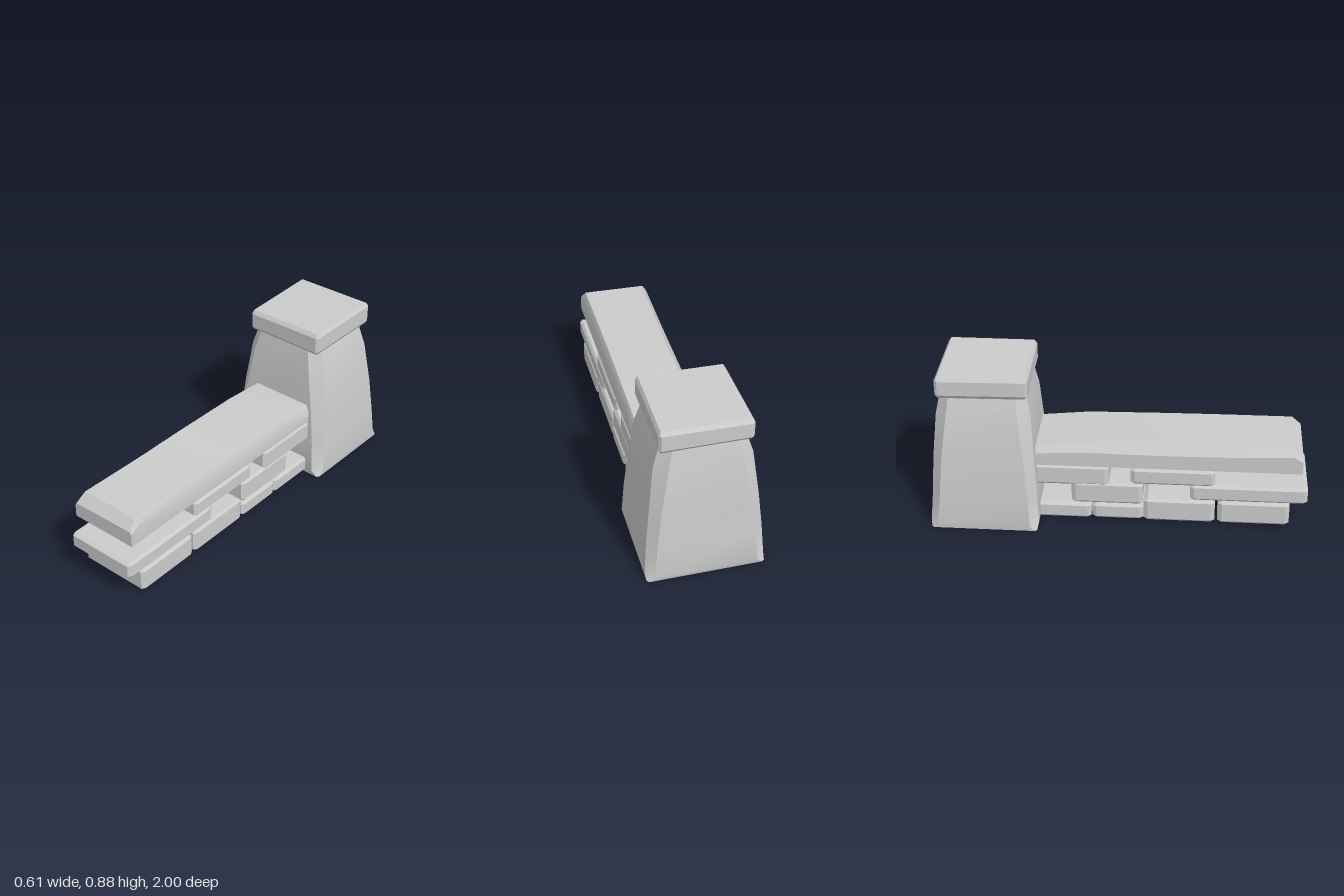
import * as THREE from 'three';
import { toCreasedNormals } from 'three/addons/utils/BufferGeometryUtils.js';
import { ConvexGeometry } from 'three/addons/geometries/ConvexGeometry.js';

const stone = new THREE.MeshStandardMaterial({ color: 0xcccccc });
const shell = new THREE.MeshStandardMaterial({ color: 0xcccccc, side: THREE.DoubleSide });

// Skin a list of equal-length rings of [x, y, z] points
function loft(rings, capped) {
  const n = rings[0].length;
  const index = [];
  for (let r = 0; r < rings.length - 1; r++) {
    for (let i = 0; i < n; i++) {
      const a = r * n + i, b = r * n + (i + 1) % n;
      index.push(a, b, b + n, a, b + n, a + n);
    }
  }
  if (capped) {
    const last = (rings.length - 1) * n;
    for (let i = 1; i < n - 1; i++) {
      index.push(0, i + 1, i, last, last + i, last + i + 1);
    }
  }
  const geo = new THREE.BufferGeometry();
  geo.setAttribute('position', new THREE.Float32BufferAttribute(rings.flat(2), 3));
  geo.setIndex(index);
  return toCreasedNormals(geo, 0.55);
}

// Box between two corners with every edge chamfered by [cx, cy, cz]
function chamferedBox([x0, y0, z0], [x1, y1, z1], [cx, cy, cz], warp = (p) => p) {
  const center = new THREE.Vector3((x0 + x1) / 2, (y0 + y1) / 2, (z0 + z1) / 2);
  const hx = (x1 - x0) / 2, hy = (y1 - y0) / 2, hz = (z1 - z0) / 2;
  const pts = [];
  for (const sx of [-1, 1]) for (const sy of [-1, 1]) for (const sz of [-1, 1]) {
    for (const [a, b, c] of [[hx, hy - cy, hz - cz], [hx - cx, hy, hz - cz], [hx - cx, hy - cy, hz]]) {
      pts.push(warp(new THREE.Vector3(sx * a, sy * b, sz * c).add(center)));
    }
  }
  return new ConvexGeometry(pts);
}

export function createModel() {
  const model = new THREE.Group();
  const add = (name, geo, mat = stone) => {
    const mesh = new THREE.Mesh(geo, mat);
    mesh.name = name;
    model.add(mesh);
  };

  // Hollow tapering pillar: y, half width, front z, back z, corner chamfer
  const levels = [
    [0, 0.302, -0.425, -0.99, 0.012],
    [0.03, 0.305, -0.418, -0.997, 0.045],
    [0.2, 0.294, -0.425, -0.98, 0.045],
    [0.4, 0.275, -0.436, -0.968, 0.05],
    [0.64, 0.247, -0.452, -0.945, 0.06],
    [0.77, 0.207, -0.476, -0.917, 0.05],
  ];
  add('pillar', loft(levels.map(([y, h, f, b, c]) => [
    [-h + c, y, f], [h - c, y, f], [h, y, f - c], [h, y, b + c],
    [h - c, y, b], [-h + c, y, b], [-h, y, b + c], [-h, y, f - c],
  ]), false), shell);

  // Capstone, its top tilted slightly and its back left edge bulging
  add('capstone', chamferedBox([-0.225, 0.75, -0.935], [0.23, 0.872, -0.46], [0.012, 0.02, 0.015], (p) => {
    if (p.y > 0.8) p.y += p.x * 0.018;
    if (p.x < -0.2 && p.z < -0.8) p.x -= 0.012;
    return p;
  }));

  // Loose courses of wall stones: z start, z end, y bottom, y top
  const courses = {
    lowerStone: [[0.53, 0.91, 0.015, 0.148], [0.135, 0.515, 0.012, 0.145],
      [-0.14, 0.135, 0.018, 0.108], [-0.44, -0.145, 0.012, 0.102]],
    middleStone: [[0.38, 1, 0.152, 0.245], [-0.25, 0.13, 0.11, 0.237]],
    upperStone: [[0.065, 0.51, 0.24, 0.335], [-0.45, -0.05, 0.22, 0.338]],
  };
  for (const [name, stones] of Object.entries(courses)) {
    stones.forEach(([z0, z1, y0, y1], i) => {
      const shift = (i % 2) * 0.004;
      add(name + (i + 1), chamferedBox([-0.182 + shift, y0, z0], [0.218 - shift, y1, z1], [0.013, 0.014, 0.022]));
    });
  }

  // Long coping slab: z, left top y, right top y, left chamfer, right chamfer
  const stations = [
    [-0.45, 0.435, 0.435, 0.02, 0.02],
    [-0.18, 0.465, 0.463, 0.03, 0.02],
    [0.25, 0.485, 0.472, 0.045, 0.022],
    [0.55, 0.474, 0.475, 0.035, 0.022],
    [0.915, 0.468, 0.475, 0.022, 0.02],
    [0.965, 0.418, 0.425, 0.008, 0.008],
  ];
  add('copingSlab', loft(stations.map(([z, l, r, cl, cr]) => [
    [-0.172, 0.336, z], [0.21, 0.338, z], [0.21, r - cr * 1.8, z],
    [0.21 - cr, r, z], [-0.172 + cl, l, z], [-0.172, l - cl * 1.5, z],
  ]), true));

  return model;
}
